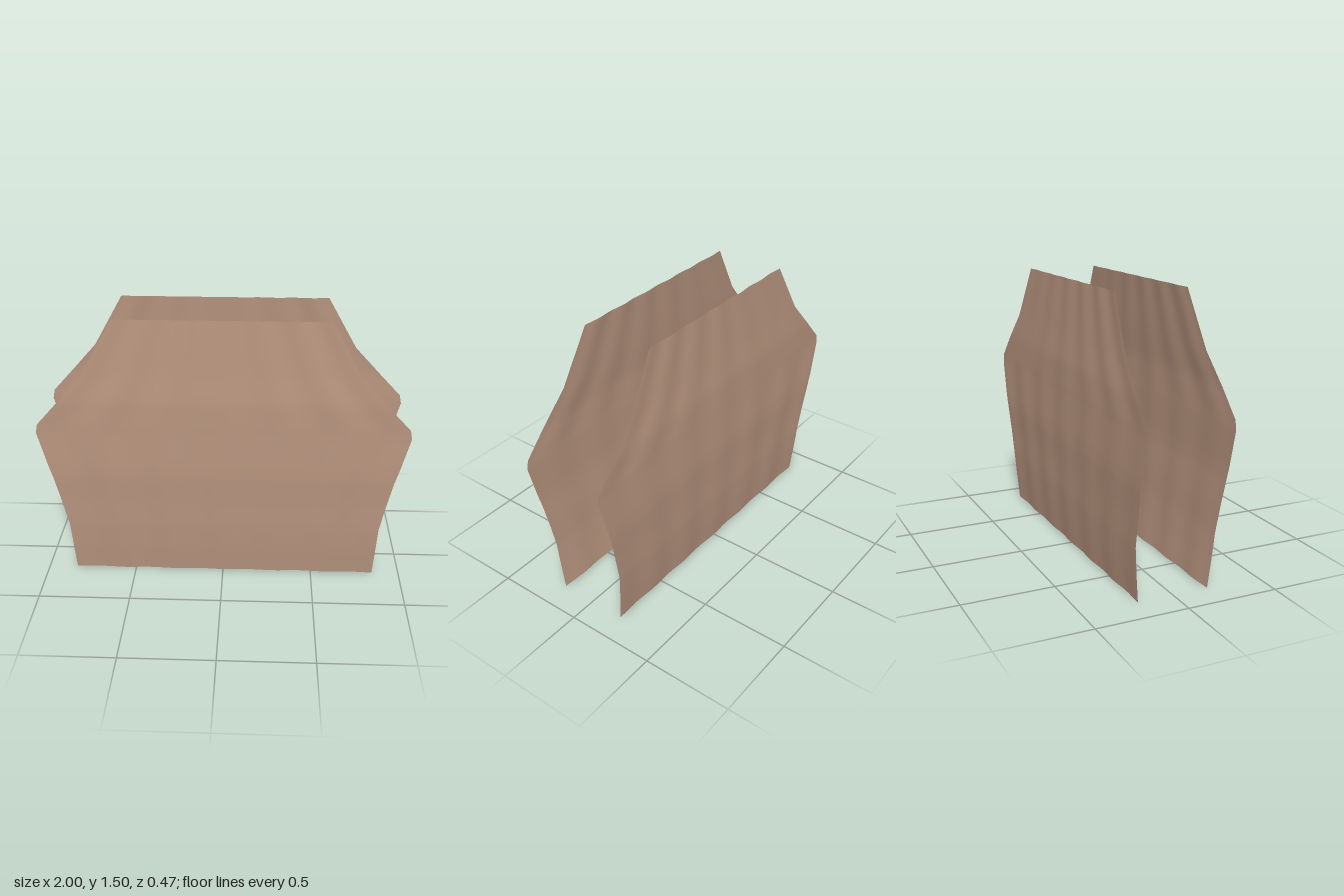
import * as THREE from 'three';

// Outline and bulge of one sheet: [height, left edge x, right edge x, distance from centre]
const PROFILE = [
  [0, -0.84, 0.85, 0.194],
  [0.15, -0.85, 0.858, 0.208],
  [0.3, -0.86, 0.866, 0.219],
  [0.45, -0.893, 0.895, 0.224],
  [0.6, -0.927, 0.927, 0.232],
  [0.68, -0.95, 0.95, 0.233],
  [0.87, -1, 1, 0.23],
  [0.92, -0.99, 0.99, 0.23],
  [1.05, -0.873, 0.868, 0.228],
  [1.21, -0.733, 0.723, 0.215],
  [1.5, -0.57, 0.56, 0.197],
];
const STEPS = 4; // rows between two profile heights
const COLUMNS = 72;
const RIPPLE = 0.003;

// Cloth sheet whose folds follow the outline; side is +1 for front, -1 for back
function sheetGeometry(side) {
  const rows = (PROFILE.length - 1) * STEPS;
  const geometry = new THREE.PlaneGeometry(1, 1, COLUMNS, rows);
  const position = geometry.attributes.position;
  for (let i = 0; i < position.count; i++) {
    const u = position.getX(i) * 2;
    const t = (position.getY(i) + 0.5) * (PROFILE.length - 1);
    const k = Math.max(0, Math.min(Math.floor(t), PROFILE.length - 2));
    const [y, left, right, depth] = PROFILE[k].map((a, j) =>
      THREE.MathUtils.lerp(a, PROFILE[k + 1][j], t - k));
    const x = THREE.MathUtils.lerp(left, right, (u + 1) / 2);
    const z = depth + RIPPLE * Math.cos(u * Math.PI * 6);
    // Turn the back sheet half round so that its outer face points to -z
    position.setXYZ(i, side * THREE.MathUtils.lerp(left, right, (side * u + 1) / 2) * side, y, side * z);
  }
  geometry.computeVertexNormals();
  return geometry;
}

export function createModel() {
  const group = new THREE.Group();
  const cloth = new THREE.MeshStandardMaterial({ color: 0xb8957f, side: THREE.DoubleSide });
  for (const [name, side] of [['frontPanel', 1], ['backPanel', -1]]) {
    const panel = new THREE.Mesh(sheetGeometry(side), cloth);
    panel.name = name;
    group.add(panel);
  }
  return group;
}
